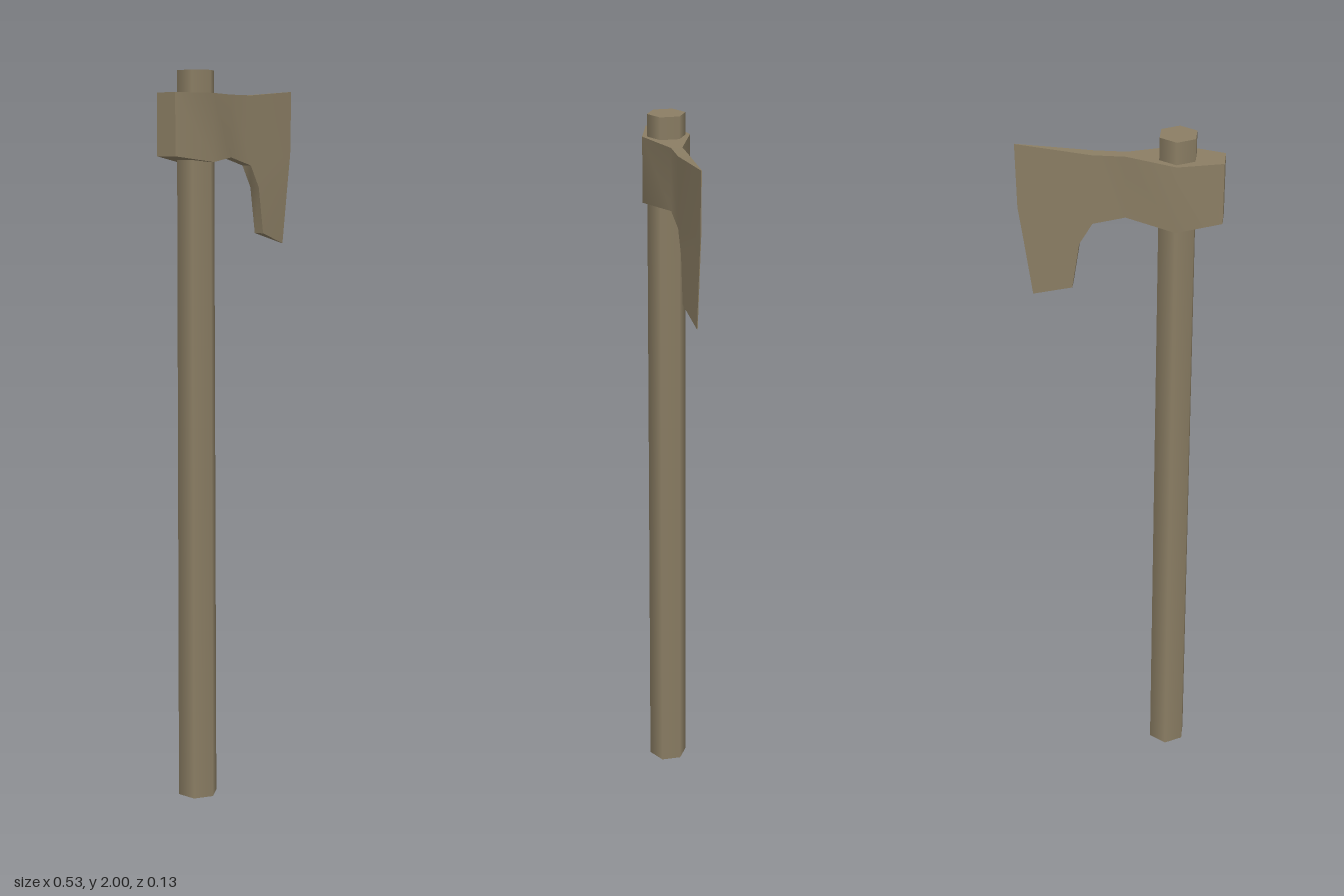
import * as THREE from 'three';
import { mergeGeometries, toCreasedNormals } from 'three/addons/utils/BufferGeometryUtils.js';

// Skin a row of four-cornered sections, capping the requested ends
function loft(sections, capStart, capEnd) {
  const pos = [];
  const quad = (a, b, c, d) => pos.push(...a, ...b, ...c, ...a, ...c, ...d);
  for (let i = 0; i < sections.length - 1; i++) {
    const a = sections[i], b = sections[i + 1];
    for (let j = 0; j < 4; j++) {
      const k = (j + 1) % 4;
      quad(a[j], a[k], b[k], b[j]);
    }
  }
  if (capStart) quad(...[...sections[0]].reverse());
  if (capEnd) quad(...sections[sections.length - 1]);
  const g = new THREE.BufferGeometry();
  g.setAttribute('position', new THREE.Float32BufferAttribute(pos, 3));
  return g;
}

export function createModel() {
  const group = new THREE.Group();
  group.name = 'axe';
  const material = new THREE.MeshStandardMaterial({ color: 0x8b7e64 });
  material.name = 'weathered brown';

  // Six-sided shaft, slightly thicker at the foot
  const shaft = new THREE.Mesh(new THREE.CylinderGeometry(0.052, 0.056, 2, 6), material);
  shaft.name = 'shaft';
  shaft.position.set(-0.15, 1, 0);
  group.add(shaft);

  // Poll, eye and neck: x, top, bottom, half thickness
  const eye = [
    [-0.268, 1.94, 1.775, 0.032],
    [-0.152, 1.94, 1.76, 0.065],
    [-0.02, 1.94, 1.772, 0.015],
    [0.065, 1.94, 1.75, 0.015],
  ].map(([x, t, b, h]) => [[x, t, h], [x, b, h], [x, b, -h], [x, t, -h]]);

  // Bearded blade: edge x, y and inner x, y, from top to beard tip
  const thick = 0.015, thin = 0.001;
  const blade = [
    [0.263, 1.955, 0.065, 1.94],
    [0.26, 1.78, 0.065, 1.75],
    [0.248, 1.695, 0.1, 1.69],
    [0.226, 1.53, 0.12, 1.562],
  ].map(([ex, ey, ix, iy]) => [[ex, ey, thin], [ix, iy, thick], [ix, iy, -thick], [ex, ey, -thin]]);

  const geometry = mergeGeometries([loft(eye, true, false), loft(blade, true, true)]);
  const head = new THREE.Mesh(toCreasedNormals(geometry, 0.75), material);
  head.name = 'axeHead';
  group.add(head);

  return group;
}
